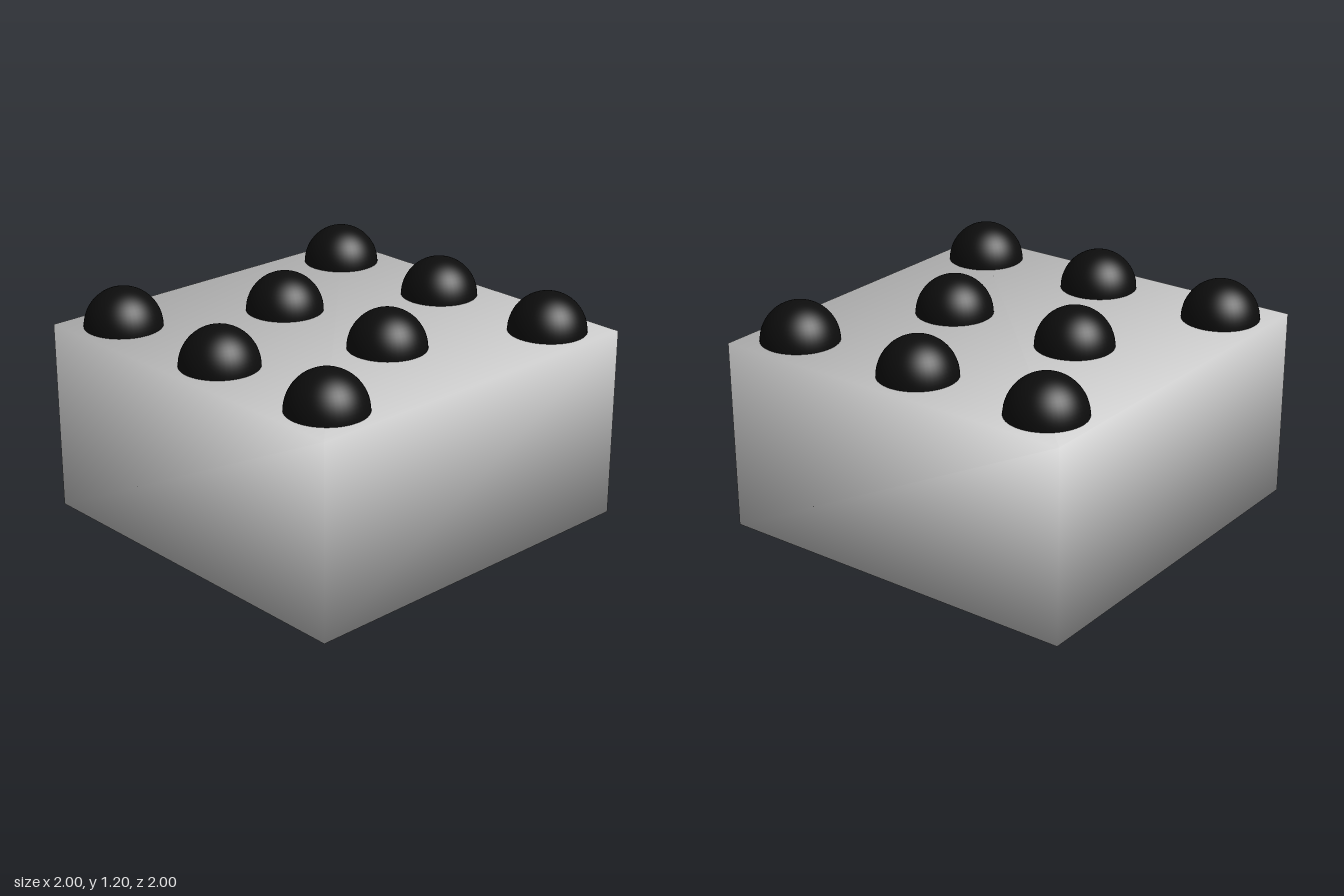
import * as THREE from 'three';

const SIZE = { x: 2, y: 1, z: 2 };
const DOME_RADIUS = 0.2;

// Block whose corners share one area-weighted normal, so it shades smoothly across its edges
function makeBlock() {
  const geometry = new THREE.BoxGeometry(SIZE.x, SIZE.y, SIZE.z);
  const { position, normal } = geometry.attributes;
  const n = new THREE.Vector3();
  for (let i = 0; i < position.count; i++) {
    n.set(
      Math.sign(position.getX(i)) * SIZE.y * SIZE.z,
      Math.sign(position.getY(i)) * SIZE.x * SIZE.z,
      Math.sign(position.getZ(i)) * SIZE.x * SIZE.y
    ).normalize();
    normal.setXYZ(i, n.x, n.y, n.z);
  }
  const block = new THREE.Mesh(geometry, new THREE.MeshStandardMaterial({ color: 0xcccccc }));
  block.name = 'block';
  block.position.y = SIZE.y / 2;
  return block;
}

// Dark half-spheres: three along each side and two down the middle
function makeDomes() {
  const domes = new THREE.Group();
  domes.name = 'domes';
  const geometry = new THREE.SphereGeometry(DOME_RADIUS, 48, 16, 0, Math.PI * 2, 0, Math.PI / 2);
  const material = new THREE.MeshStandardMaterial({ color: 0x0d0d0d });
  const columns = [
    { name: 'leftDome', x: 0.75, zs: [-0.75, 0, 0.75] },
    { name: 'middleDome', x: 0, zs: [-0.375, 0.375] },
    { name: 'rightDome', x: -0.75, zs: [-0.75, 0, 0.75] },
  ];
  for (const { name, x, zs } of columns) {
    zs.forEach((z, i) => {
      const dome = new THREE.Mesh(geometry, material);
      dome.name = `${name}${i + 1}`;
      dome.position.set(x, SIZE.y, z);
      domes.add(dome);
    });
  }
  return domes;
}

export function createModel() {
  const model = new THREE.Group();
  model.name = 'studdedBlock';
  model.add(makeBlock(), makeDomes());
  return model;
}
